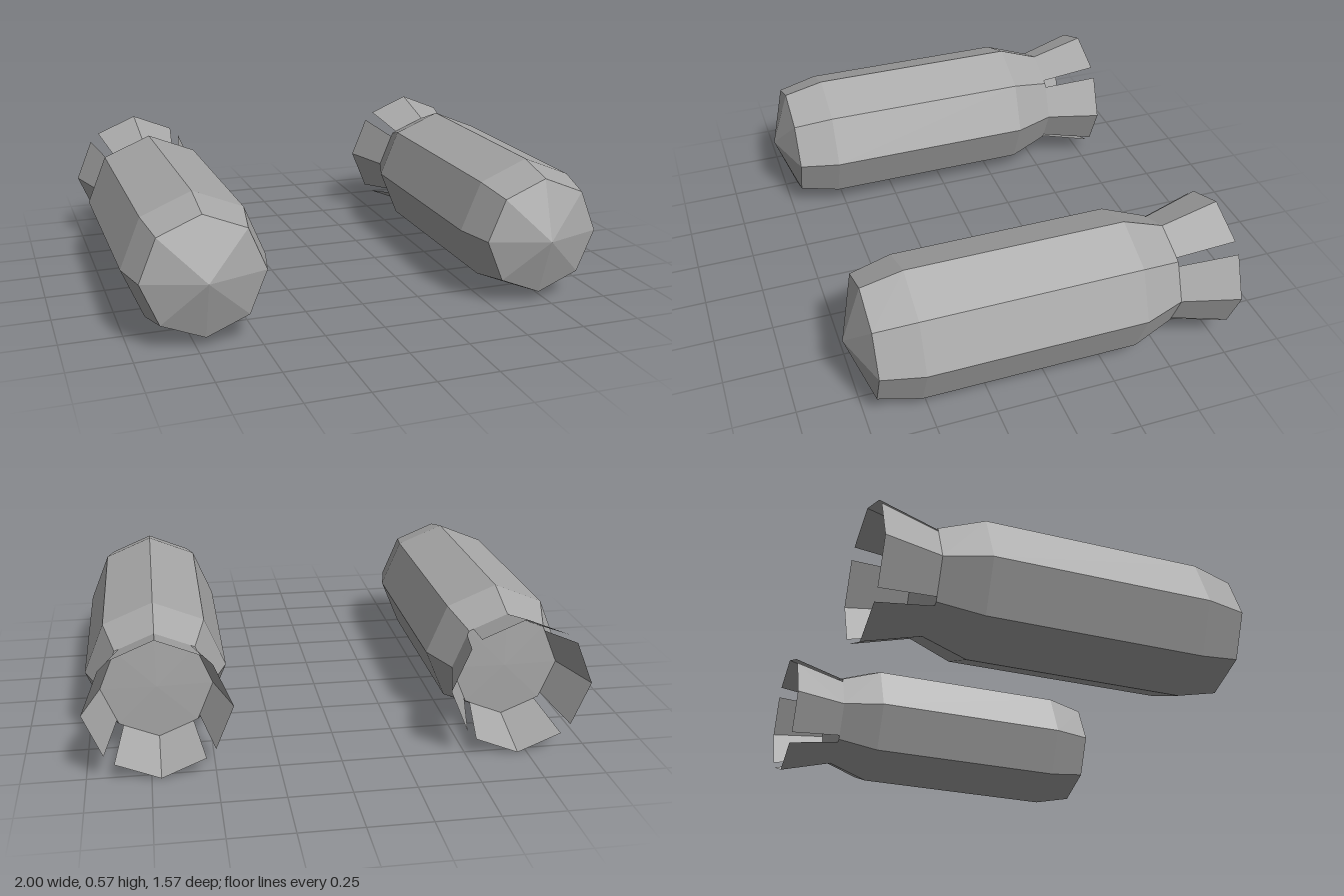
import * as THREE from 'three';

const SIDES = 8;
const RADIUS = 0.287;
const TAIL_RADIUS = 0.222;
const TAIL_Z = -0.55;
const END_Z = -0.785;

const metal = new THREE.MeshStandardMaterial({ color: 0xa8a8a8, flatShading: true });
metal.name = 'grey metal';
const finMetal = new THREE.MeshStandardMaterial({ color: 0xa8a8a8, flatShading: true, side: THREE.DoubleSide });
finMetal.name = 'grey fin metal';

// Octagonal body: rear cap, tapered tail, straight barrel, shoulder, blunt nose
function makeBody() {
  const profile = [
    [0, -0.558], [TAIL_RADIUS, TAIL_Z], [RADIUS, -0.375],
    [RADIUS, 0.53], [0.247, 0.703], [0, 0.785],
  ].map(([r, z]) => new THREE.Vector2(r, z));
  const geometry = new THREE.LatheGeometry(profile, SIDES);
  geometry.rotateX(Math.PI / 2);
  const body = new THREE.Mesh(geometry, metal);
  body.name = 'bombBody';
  return body;
}

// Flared tail fin folded along its middle, following two octagon sides
function makeFin() {
  const row = (r, z, share) => {
    const half = r * Math.SQRT1_2 * share;
    const edgeY = r - half * Math.tan(Math.PI / 8);
    return [-half, edgeY, z, 0, r, z, half, edgeY, z];
  };
  const geometry = new THREE.BufferGeometry();
  geometry.setAttribute('position', new THREE.Float32BufferAttribute(
    [...row(TAIL_RADIUS, TAIL_Z, 0.89), ...row(RADIUS, END_Z, 0.87)], 3));
  geometry.setIndex([0, 1, 4, 0, 4, 3, 1, 2, 5, 1, 5, 4]);
  const flat = geometry.toNonIndexed();
  flat.computeVertexNormals();
  return new THREE.Mesh(flat, finMetal);
}

function makeBomb() {
  const bomb = new THREE.Group();
  bomb.add(makeBody());
  for (let i = 0; i < 4; i++) {
    const fin = makeFin();
    fin.name = 'tailFin' + (i + 1);
    fin.rotation.z = i * Math.PI / 2;
    bomb.add(fin);
  }
  return bomb;
}

export function createModel() {
  const model = new THREE.Group();
  model.name = 'bombPair';
  for (const side of [1, -1]) {
    const bomb = makeBomb();
    bomb.name = side > 0 ? 'leftBomb' : 'rightBomb';
    bomb.position.set(side * (1 - RADIUS), RADIUS, 0);
    model.add(bomb);
  }
  return model;
}
